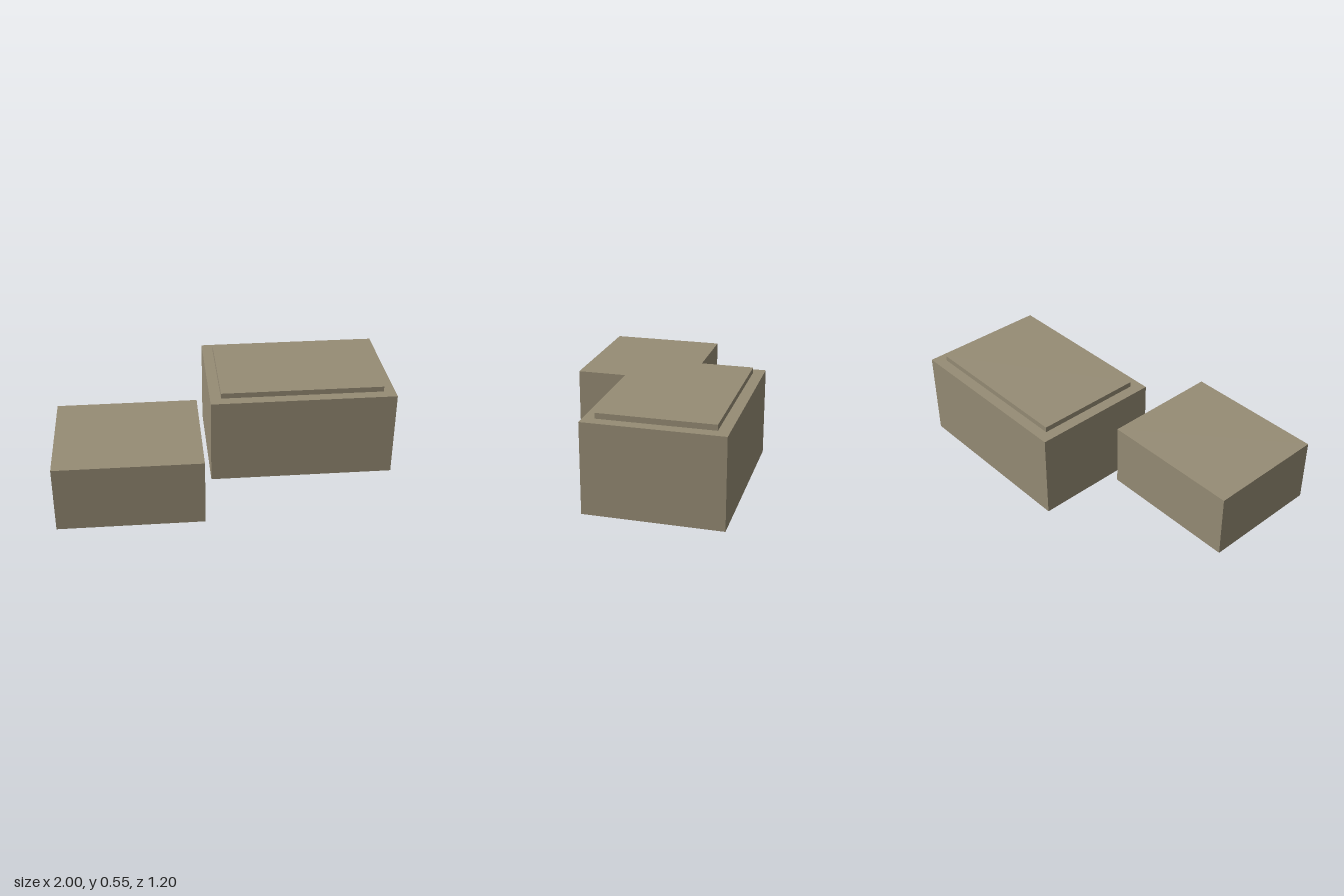
import * as THREE from 'three';

const stone = new THREE.MeshStandardMaterial({ color: 0x968c75 });
stone.name = 'stone';

// Box given by its extents along each axis
function block(name, [x0, x1], [y0, y1], [z0, z1]) {
  const mesh = new THREE.Mesh(new THREE.BoxGeometry(x1 - x0, y1 - y0, z1 - z0), stone);
  mesh.position.set((x0 + x1) / 2, (y0 + y1) / 2, (z0 + z1) / 2);
  mesh.name = name;
  return mesh;
}

export function createModel() {
  const model = new THREE.Group();
  model.name = 'buildings';

  // Low block
  model.add(block('lowBuilding', [-1, -0.163], [0, 0.39], [-0.112, 0.598]));

  // Tall block with a raised, inset roof slab
  const tall = new THREE.Group();
  tall.name = 'tallBuilding';
  tall.add(
    block('tallBuildingBody', [-0.098, 1], [0, 0.518], [-0.598, 0.177]),
    block('roofSlab', [-0.033, 0.932], [0.518, 0.55], [-0.534, 0.112]),
  );
  model.add(tall);

  return model;
}
